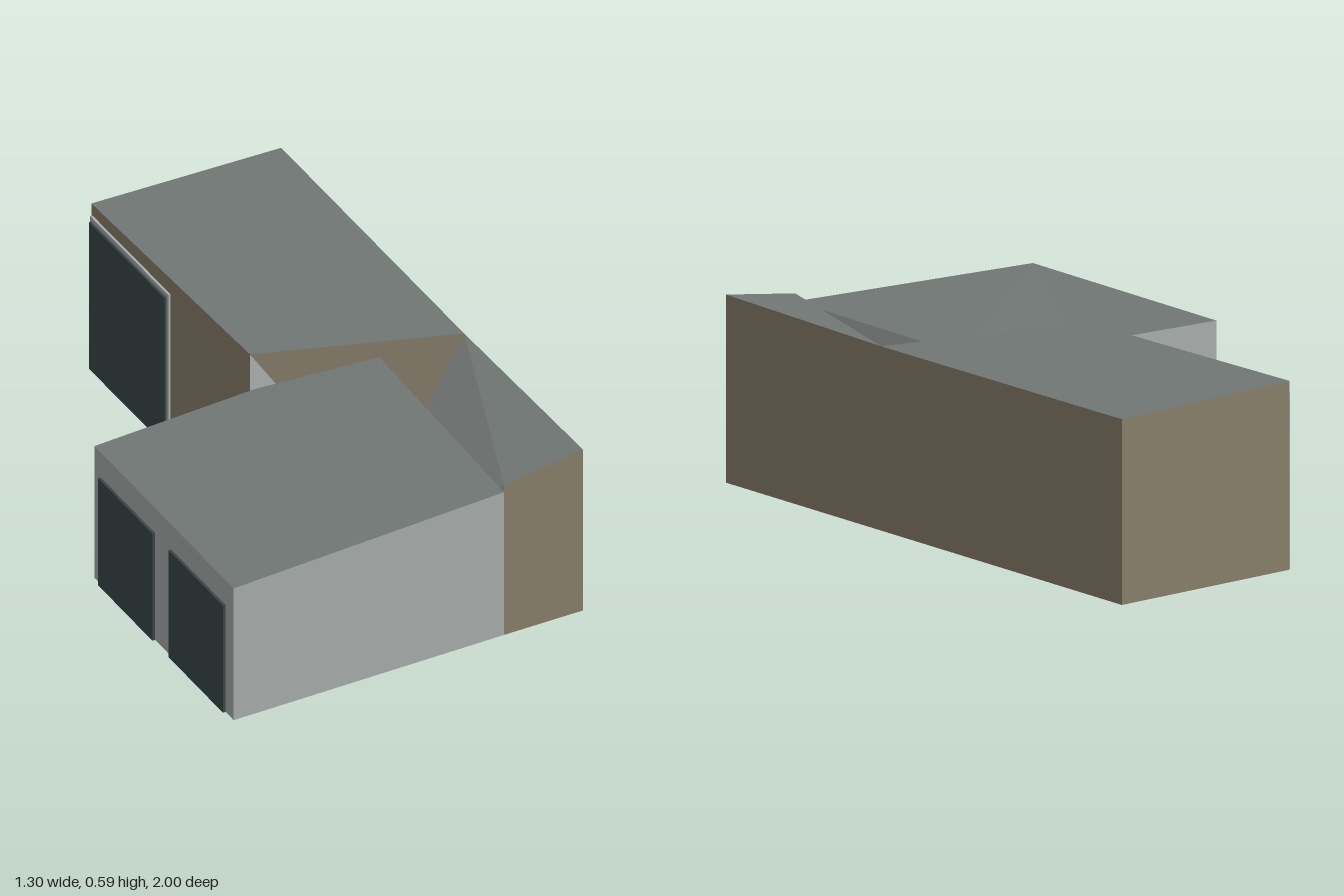
import * as THREE from 'three';

const mat = (name, color) => {
  const m = new THREE.MeshStandardMaterial({ color });
  m.name = name;
  return m;
};

export function createModel() {
  const model = new THREE.Group();
  model.name = 'building';
  const lightGrey = mat('lightGreyWall', 0xa8aeac);
  const brown = mat('brownWall', 0x897f6b);
  const roofGrey = mat('roofGrey', 0x707775);
  const dark = mat('darkDoor', 0x3a4648);

  // Flat polygons, corners anticlockwise seen from outside, cut into fans
  function faces(name, material, polygons) {
    const pos = [];
    for (const p of polygons)
      for (let i = 1; i < p.length - 1; i++) pos.push(...p[0], ...p[i], ...p[i + 1]);
    const g = new THREE.BufferGeometry();
    g.setAttribute('position', new THREE.Float32BufferAttribute(pos, 3));
    g.computeVertexNormals();
    const mesh = new THREE.Mesh(g, material);
    mesh.name = name;
    model.add(mesh);
  }
  // Ground point and roof point of a corner
  const corner = (x, z, h) => [[x, 0, z], [x, h, z]];

  // Long wing corners
  const [A0, A1] = corner(-0.21, -0.93, 0.59);
  const [B0, B1] = corner(0.44, -1.0, 0.58);
  const [E0, E1] = corner(0.65, 0.86, 0.587);
  const [F0, F1] = corner(0.38, 0.89, 0.545);
  const C1 = [0.567, 0.575, 0.13];
  const D0 = [-0.1, 0, 0.06], D1 = [-0.08, 0.587, 0];
  const G0 = [0.31, 0, 0.08];

  faces('longWingWalls', brown, [
    [F0, E0, E1, F1],
    [E0, B0, B1, C1, E1],
    [B0, A0, A1, B1],
    [A0, D0, D1, A1],
    [D1, G0, C1],
    [G0, D0, A0, B0, E0, F0],
  ]);
  faces('longWingInnerWalls', lightGrey, [[D0, G0, D1], [G0, F0, F1], [G0, F1, C1]]);
  faces('longWingRoof', roofGrey, [[C1, B1, A1, D1], [F1, E1, C1]]);

  // Low wing: a five-sided block with a gently sloping roof
  const ring = [
    corner(-0.55, 1.0, 0.48),
    corner(0.38, 0.89, 0.52),
    corner(0.31, 0.08, 0.525),
    corner(-0.09, 0.06, 0.5),
    corner(-0.642, 0.13, 0.48),
  ];
  const walls = ring.map((p, i) => {
    const q = ring[(i + 1) % ring.length];
    return [p[0], q[0], q[1], p[1]];
  });
  faces('lowWingWalls', lightGrey, [...walls, ring.map((p) => p[0]).reverse()]);
  faces('lowWingRoof', roofGrey, [ring.map((p) => p[1])]);

  // Thin upright plate between two ground points
  function plate(name, material, x1, z1, x2, z2, height, thick) {
    const dx = x2 - x1, dz = z2 - z1;
    const mesh = new THREE.Mesh(new THREE.BoxGeometry(Math.hypot(dx, dz), height, thick), material);
    mesh.position.set((x1 + x2) / 2, height / 2, (z1 + z2) / 2);
    mesh.rotation.y = Math.atan2(-dz, dx);
    mesh.name = name;
    model.add(mesh);
  }
  // Doors on the left-hand walls
  plate('lowWingDoor', dark, -0.643, 0.17, -0.607, 0.51, 0.39, 0.009);
  plate('lowWingDoor', dark, -0.596, 0.61, -0.56, 0.95, 0.39, 0.009);
  plate('longWingDoorFrame', lightGrey, -0.213, -0.925, -0.159, -0.44, 0.55, 0.008);
  plate('longWingDoor', dark, -0.219, -0.915, -0.167, -0.45, 0.535, 0.009);

  return model;
}
